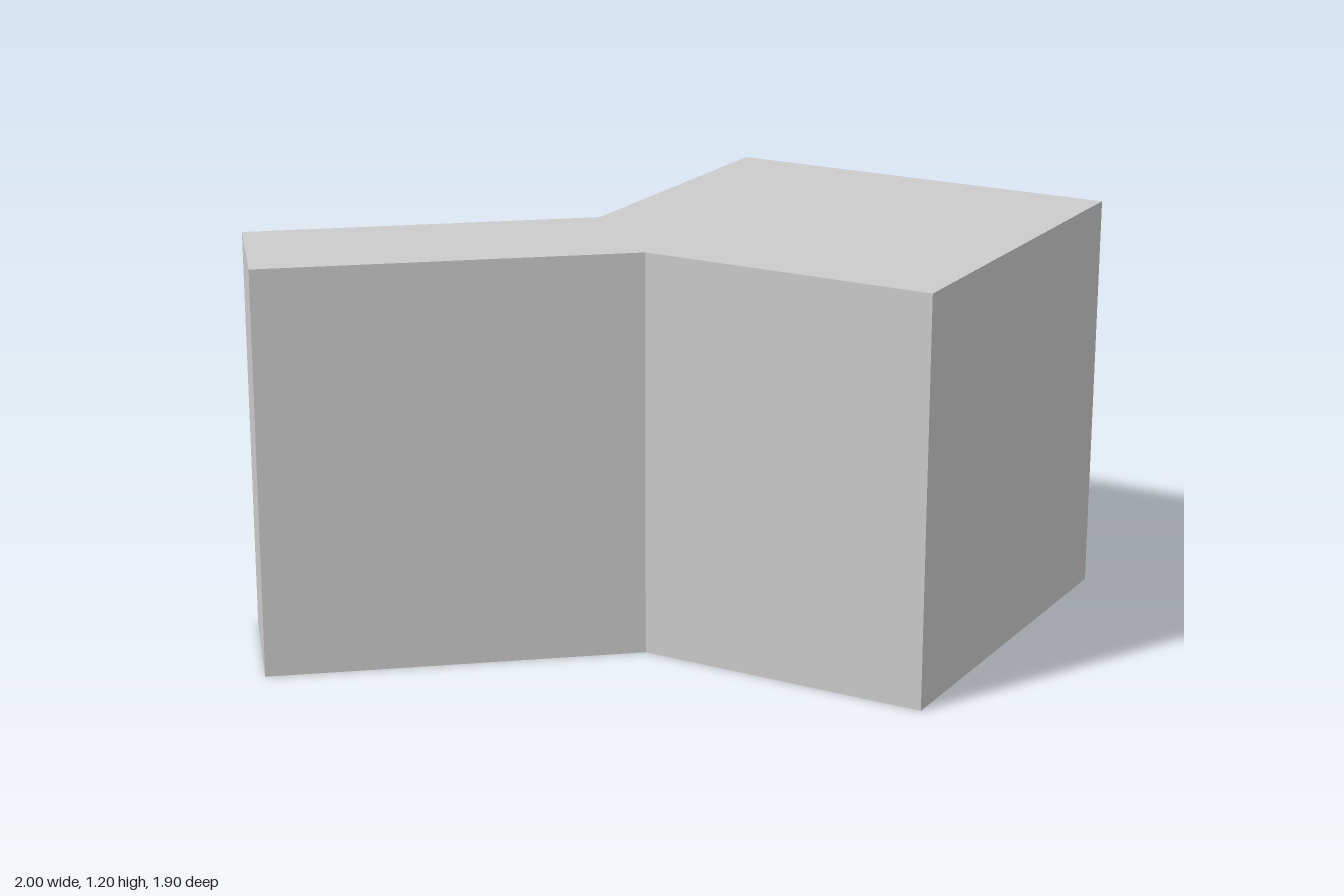
import * as THREE from 'three';

const HEIGHT = 1.2;

export function createModel() {
  const group = new THREE.Group();
  group.name = 'angledBlock';

  // Floor outline as [x, z]: a square block with a diagonal wing at its front right corner
  const outline = [
    [-0.2, -0.95], [-0.2, -0.04], [-1, 0.62], [-0.73, 0.95],
    [0.12, 0.25], [1, 0.25], [1, -0.95],
  ];
  const shape = new THREE.Shape(outline.map(([x, z]) => new THREE.Vector2(x, -z)));

  // Raise the outline straight up from the ground
  const geometry = new THREE.ExtrudeGeometry(shape, { depth: HEIGHT, bevelEnabled: false });
  geometry.rotateX(-Math.PI / 2);

  const material = new THREE.MeshStandardMaterial({ color: 0xcccccc, flatShading: true });
  const body = new THREE.Mesh(geometry, material);
  body.name = 'blockWithWing';
  group.add(body);
  return group;
}
